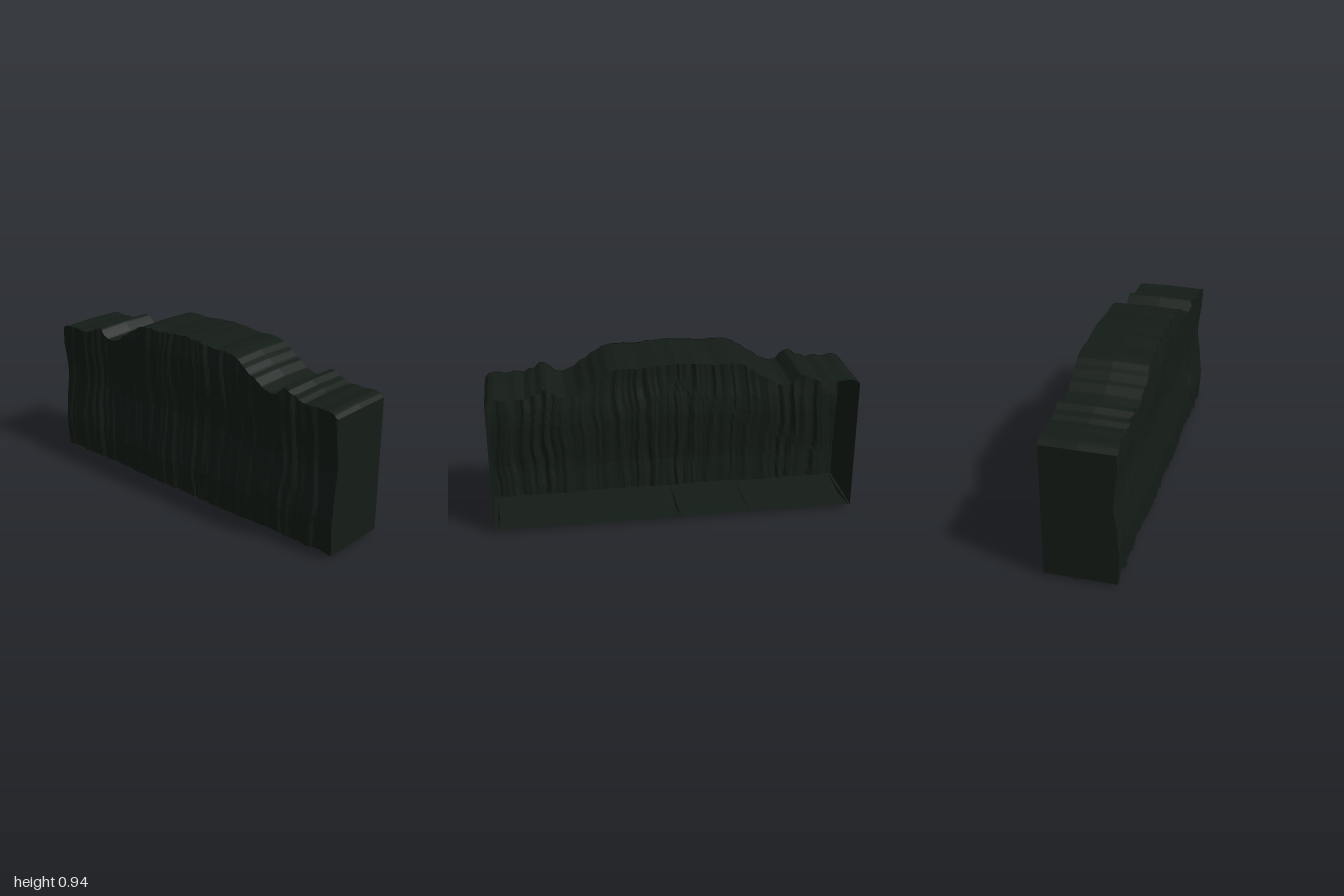
import * as THREE from 'three';

const COLS = 110, ROWS = 16, BACK = -0.2;

// Half of the mirrored skyline: distance from centre, height
const skyline = [
  [0, 0.945], [0.04, 0.938], [0.1, 0.937], [0.15, 0.93], [0.2, 0.925], [0.25, 0.93], [0.31, 0.928],
  [0.36, 0.915], [0.39, 0.892], [0.42, 0.878], [0.45, 0.85], [0.48, 0.84], [0.52, 0.805], [0.58, 0.784],
  [0.62, 0.79], [0.64, 0.81], [0.67, 0.838], [0.7, 0.835], [0.73, 0.812], [0.76, 0.806], [0.79, 0.788],
  [0.84, 0.795], [0.88, 0.79], [0.95, 0.796], [0.98, 0.787], [1, 0.765],
];
// Bulge of the face: height, greatest depth
const bulge = [
  [0, 0.189], [0.03, 0.189], [0.2, 0.2], [0.35, 0.184], [0.47, 0.172], [0.56, 0.175],
  [0.64, 0.185], [0.7, 0.19], [0.84, 0.196], [0.95, 0.184],
];

function lookup(table, t) {
  for (let i = 1; i < table.length; i++) {
    const [a, va] = table[i - 1], [b, vb] = table[i];
    if (t <= b) return va + (vb - va) * (t - a) / (b - a);
  }
  return table[table.length - 1][1];
}

// Repeatable value noise
const hash = (n) => {
  const s = Math.sin(n * 127.1 + 11.7) * 43758.5453;
  return s - Math.floor(s);
};
function noise(t, seed) {
  const i = Math.floor(t), f = t - i;
  const a = hash(i + seed), b = hash(i + 1 + seed);
  return a + (b - a) * f * f * (3 - 2 * f);
}

const top = (x) => lookup(skyline, Math.abs(x));

// Point on the rock face: mirrored vertical ribs that wander with height
function face(u, v) {
  const x = u * 2 - 1, ax = Math.abs(x);
  const y = 0.022 + v * (top(x) - 0.022);
  const wander = ax + 0.035 * (noise(y * 5 + ax * 3, 50) - 0.5) + 0.02 * (noise(y * 11 + ax * 6, 90) - 0.5);
  const ribs = 0.65 * noise(wander * 34, 0) + 0.35 * noise(wander * 62 + y * 2, 300);
  const relief = 0.026 * Math.max(0, 0.85 - ribs) + 0.005 * noise(y * 8 + ax * 9, 500);
  return [x, y, lookup(bulge, y) - relief];
}

// Surface over a grid of u, v, with normals facing du x dv
function surface(name, nu, nv, point, material) {
  const positions = [], index = [];
  for (let j = 0; j <= nv; j++)
    for (let i = 0; i <= nu; i++) positions.push(...point(i / nu, j / nv));
  for (let j = 0; j < nv; j++)
    for (let i = 0; i < nu; i++) {
      const a = j * (nu + 1) + i, c = a + nu + 1;
      index.push(a, a + 1, c + 1, a, c + 1, c);
    }
  const geometry = new THREE.BufferGeometry();
  geometry.setAttribute('position', new THREE.Float32BufferAttribute(positions, 3));
  geometry.setIndex(index);
  geometry.computeVertexNormals();
  const mesh = new THREE.Mesh(geometry, material);
  mesh.name = name;
  return mesh;
}

export function createModel() {
  const group = new THREE.Group();
  group.name = 'rockWall';
  const rock = new THREE.MeshStandardMaterial({ color: 0x141c17, flatShading: true, side: THREE.DoubleSide });

  group.add(surface('rockFace', COLS * 2, ROWS, face, rock));

  // Top, running back from the skyline
  group.add(surface('topLedge', COLS * 2, 2, (u, v) => {
    const [x, y, z] = face(u, 1);
    return [x, y - 0.005 * Math.abs(1 - 2 * v), z + (BACK - z) * v];
  }, rock));

  // Underside, sagging slightly along the middle and lowest at the centre
  group.add(surface('underside', COLS * 2, 2, (u, v) => {
    const [x, y, z] = face(u, 0);
    const ax = Math.abs(x);
    const low = ax < 0.02 || Math.abs(ax - 0.982) < 0.006 ? 0 : ax < 0.41 ? 0.012 : 0.018;
    return v === 0.5 ? [x, low, -0.04] : [x, y, v === 0 ? BACK : z];
  }, rock));

  // End walls; the back stays open
  for (const side of [1, -1]) {
    group.add(surface(side > 0 ? 'leftEnd' : 'rightEnd', 1, ROWS, (u, v) => {
      const [x, y, z] = face(side > 0 ? 1 : 0, v);
      const front = side > 0 ? u === 0 : u === 1;
      return [x, y, front ? z : BACK];
    }, rock));
  }
  return group;
}
